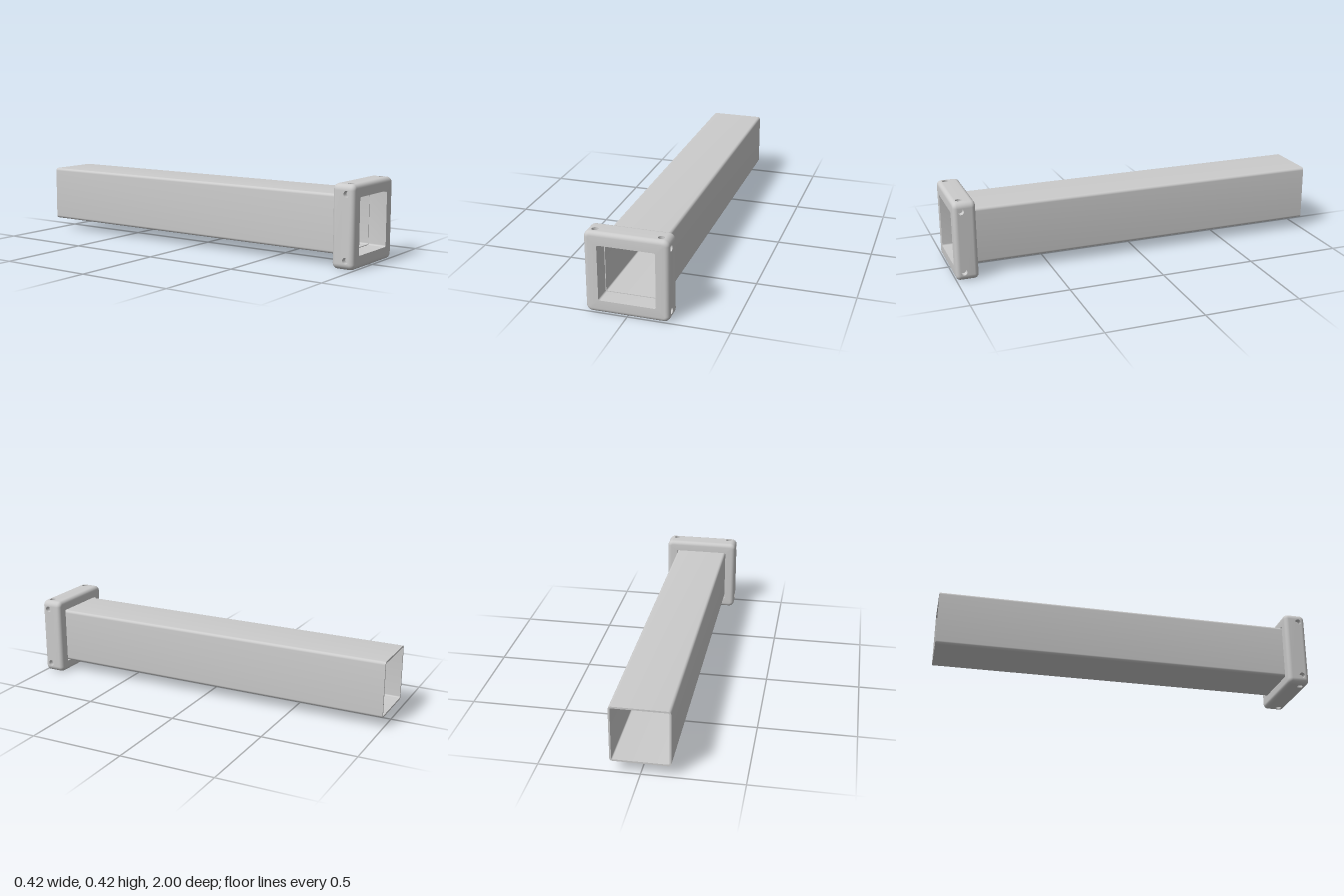
import * as THREE from 'three';
import { mergeGeometries, toCreasedNormals } from 'three/addons/utils/BufferGeometryUtils.js';

const N = 8;            // segments per rounded corner
const HALF = 0.208;     // collar half width
const CORNER = 0.03;    // collar corner radius
const FILLET = 0.022;   // collar edge rounding
const BACK = 0.885, FRONT = 1;
const TUBE_END = 0.905; // where the tube seats inside the collar
const HOLE = { r: 0.016, offset: 0.161, z: 0.961, depth: 0.03 };

// Rounded square outline at depth z, counter-clockwise seen from the front
function ring([half, radius, z]) {
  const points = [];
  for (let k = 0; k < 4; k++) {
    const a0 = k * Math.PI / 2, c = half - radius;
    const cx = k === 0 || k === 3 ? c : -c, cy = k < 2 ? c : -c;
    for (let i = 0; i <= N; i++) {
      const a = a0 + (i / N) * Math.PI / 2;
      points.push([cx + radius * Math.cos(a), cy + radius * Math.sin(a), z]);
    }
  }
  return points;
}

// Skin a closed chain of rings; openStrip leaves out that strip's flat sides
function loft(profile, openStrip = -1) {
  const rings = profile.map(ring), pos = [];
  rings.forEach((a, s) => {
    const b = rings[(s + 1) % rings.length];
    for (let i = 0; i < a.length; i++) {
      if (s === openStrip && i % (N + 1) === N) continue;
      const j = (i + 1) % a.length;
      pos.push(...a[i], ...a[j], ...b[j], ...a[i], ...b[j], ...b[i]);
    }
  });
  const g = new THREE.BufferGeometry();
  g.setAttribute('position', new THREE.Float32BufferAttribute(pos, 3));
  return g;
}

// Smooth curves, sharp edges (enlarged meanwhile so close vertices stay apart)
function crease(g) {
  g.scale(1000, 1000, 1000);
  const out = toCreasedNormals(g, 0.6);
  return out.scale(0.001, 0.001, 0.001);
}

// Flat outer side of the collar with two pin openings
function sidePanel(k) {
  const w = HALF - CORNER, z0 = BACK + FILLET, z1 = FRONT - FILLET;
  const s = new THREE.Shape();
  s.moveTo(-w, z0).lineTo(w, z0).lineTo(w, z1).lineTo(-w, z1).closePath();
  for (const side of [-1, 1]) {
    s.holes.push(new THREE.Path().absarc(side * HOLE.offset, HOLE.z, HOLE.r, 0, Math.PI * 2, true));
  }
  const g = new THREE.ShapeGeometry(s, 12).toNonIndexed();
  g.deleteAttribute('uv');
  g.deleteAttribute('normal');
  g.applyMatrix4(new THREE.Matrix4().makeBasis(
    new THREE.Vector3(0, 1, 0), new THREE.Vector3(0, 0, 1), new THREE.Vector3(1, 0, 0)));
  return g.translate(HALF, 0, 0).rotateZ(k * Math.PI / 2);
}

function collarGeometry() {
  const profile = [], steps = 6;
  const edge = (t, z) => [HALF - FILLET + FILLET * t, CORNER - FILLET + FILLET * t, z];
  // back edge rounding, then front edge rounding
  for (let i = 0; i <= steps; i++) {
    const a = (i / steps) * Math.PI / 2;
    profile.push(edge(Math.sin(a), BACK + FILLET * (1 - Math.cos(a))));
  }
  for (let i = 0; i <= steps; i++) {
    const a = (i / steps) * Math.PI / 2;
    profile.push(edge(Math.cos(a), FRONT - FILLET * (1 - Math.sin(a))));
  }
  // front opening, inner step and rear socket for the tube
  profile.push([0.1425, 0.009, FRONT], [0.1425, 0.009, TUBE_END],
    [0.152, 0.003, TUBE_END], [0.152, 0.003, BACK]);
  return crease(mergeGeometries([loft(profile, steps), ...[0, 1, 2, 3].map(sidePanel)]));
}

export function createModel() {
  const model = new THREE.Group();
  model.name = 'squareTubeWithCollar';
  const grey = new THREE.MeshStandardMaterial({ color: 0xcccccc });
  const inside = new THREE.MeshStandardMaterial({ color: 0xcccccc, side: THREE.BackSide });
  const add = (parent, name, geometry, material = grey) => {
    const mesh = new THREE.Mesh(geometry, material);
    mesh.name = name;
    parent.add(mesh);
    return mesh;
  };

  // Hollow square tube
  add(model, 'squareTube', crease(loft([
    [0.148, 0.015, -1], [0.148, 0.015, TUBE_END],
    [0.139, 0.007, TUBE_END], [0.139, 0.007, -1],
  ])));

  // Rounded collar
  add(model, 'collar', collarGeometry());

  // Blind pin holes, two on each side of the collar
  const holes = new THREE.Group();
  holes.name = 'pinHoles';
  model.add(holes);
  for (let k = 0; k < 4; k++) {
    for (const side of [-1, 1]) {
      const g = new THREE.CylinderGeometry(HOLE.r, HOLE.r, HOLE.depth, 24)
        .rotateZ(-Math.PI / 2)
        .translate(HALF - HOLE.depth / 2, side * HOLE.offset, HOLE.z)
        .rotateZ(k * Math.PI / 2);
      add(holes, 'pinHole', g, inside);
    }
  }

  model.children.forEach((part) => { part.position.y = HALF; });
  return model;
}
